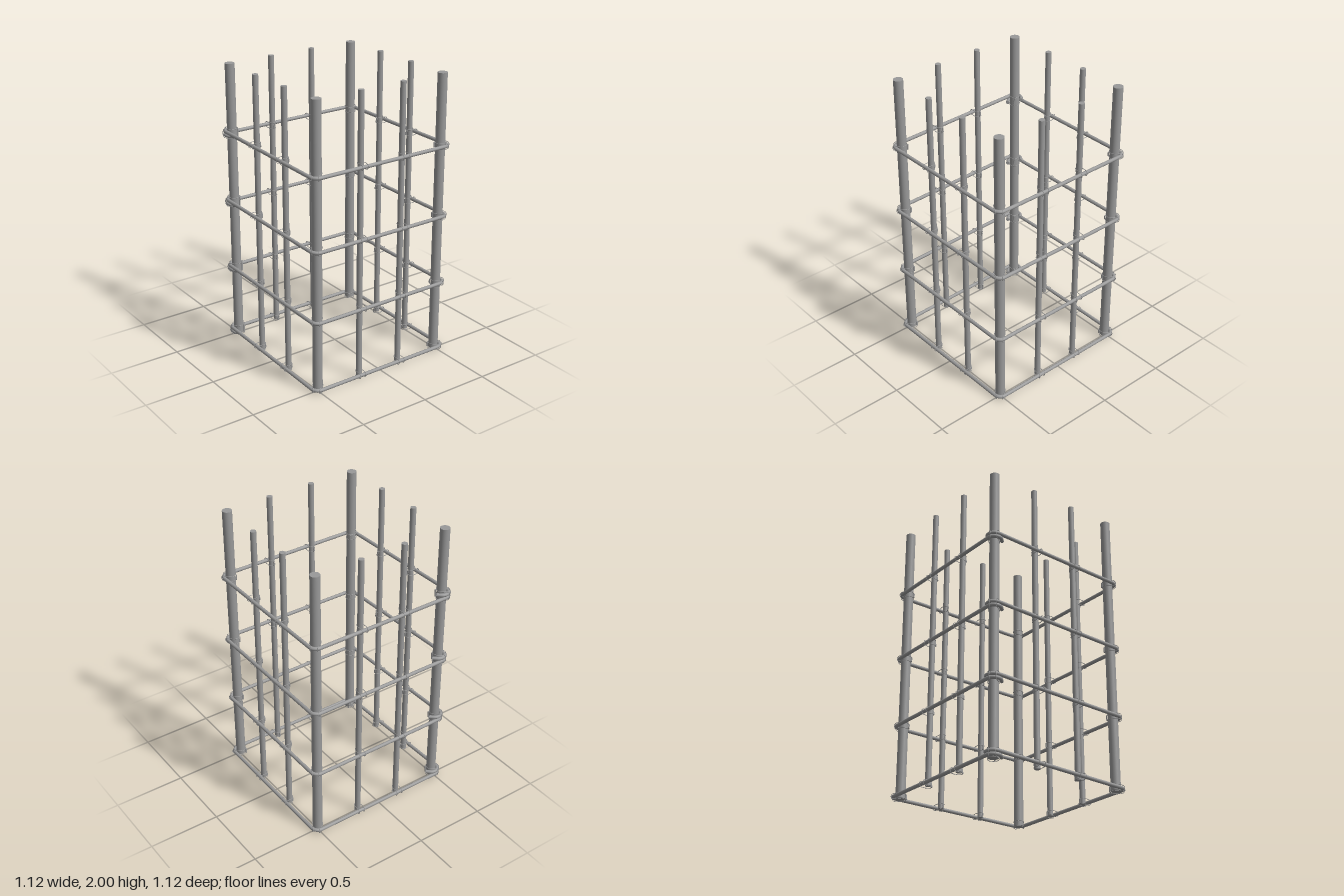
import * as THREE from 'three';

const CORNER = 0.495, CORNER_R = 0.033;   // corner bars
const MID = 0.505, MID_X = 0.165, MID_R = 0.02; // intermediate bars
const BOTTOM = 0.012, TOP = 2;            // bar ends
const BEND = 0.046, WIRE = 0.0125;        // stirrup bend and wire radius
const LEVELS = [0.024, 0.517, 1.011, 1.507];
const RISE = 0.025;                       // stirrup climbs this much across the front
const TIE_R = 0.0022, TIE_H = 0.0195;     // tie wire radius and half height

// Path that places one tube ring on each given point
class PointPath extends THREE.Curve {
  constructor(points) {
    super();
    this.points = points;
  }
  getPoint(t, target = new THREE.Vector3()) {
    const f = t * (this.points.length - 1);
    const i = Math.min(Math.floor(f), this.points.length - 2);
    return target.lerpVectors(this.points[i], this.points[i + 1], f - i);
  }
  getPointAt(u, target) {
    return this.getPoint(u, target);
  }
  getTangentAt(u, target = new THREE.Vector3()) {
    const p = this.points, n = p.length - 1, i = Math.round(u * n);
    target.set(0, 0, 0);
    if (i > 0) target.add(p[i].clone().sub(p[i - 1]).normalize());
    if (i < n) target.add(p[i + 1].clone().sub(p[i]).normalize());
    return target.normalize();
  }
}

// One bent stirrup with two 135 degree hooks round the front bar at -x
function stirrupPath() {
  const pts = [];
  const add = (x, y, z) => pts.push(new THREE.Vector3(x, y, z));
  const arc = (cx, cz, from, sweep, y) => {
    const n = Math.round(sweep / (Math.PI / 16));
    for (let i = 0; i <= n; i++) {
      const a = from + sweep * i / n;
      add(cx + BEND * Math.cos(a), y, cz + BEND * Math.sin(a));
    }
  };
  const q = Math.PI / 2, c = CORNER, d = BEND * Math.SQRT1_2, tail = 0.02;
  add(-c + d + tail, 0, c + d - tail);
  arc(-c, c, q / 2, 1.5 * q, 0);
  arc(-c, -c, 2 * q, q, 0);
  arc(c, -c, 3 * q, q, 0);
  arc(c, c, 0, q, 0);
  arc(-c, c, q, 1.5 * q, RISE);
  add(-c - d + tail, RISE, c - d - tail);
  return new PointPath(pts);
}

// Wire loop round a bar and over the stirrup; local +z points out of the cage
function tieGeometry(r, out, h, outerX) {
  const half = s => [
    [outerX, s * h * 0.8, out - 0.007], [(r + outerX) / 2, s * h, out - 0.02], [r, s * h, 0],
    [0.71 * r, s * h, -0.71 * r], [0, s * h, -r], [-0.71 * r, s * h, -0.71 * r],
    [-r, s * h, 0], [-(r + outerX) / 2, s * h, out - 0.02], [-outerX, s * h * 0.8, out - 0.007]
  ];
  const pts = [[outerX, 0, out], ...half(1), [-outerX, 0, out], ...half(-1).reverse()];
  const curve = new THREE.CatmullRomCurve3(pts.map(p => new THREE.Vector3(...p)), true, 'centripetal');
  return new THREE.TubeGeometry(curve, 64, TIE_R, 6, true);
}

export function createModel() {
  const model = new THREE.Group();
  const steel = new THREE.MeshStandardMaterial({ color: 0x999999 });
  const mesh = (geo, name, parent) => {
    const m = new THREE.Mesh(geo, steel);
    m.name = name;
    parent.add(m);
    return m;
  };

  // Upright bars
  const length = TOP - BOTTOM, midY = (TOP + BOTTOM) / 2;
  const cornerGeo = new THREE.CylinderGeometry(CORNER_R, CORNER_R, length, 24);
  const midGeo = new THREE.CylinderGeometry(MID_R, MID_R, length, 20);
  for (let k = 0; k < 4; k++) {
    const side = new THREE.Group();
    side.name = 'barSide';
    side.rotation.y = k * Math.PI / 2;
    model.add(side);
    mesh(cornerGeo, 'cornerBar', side).position.set(CORNER, midY, CORNER);
    for (const s of [-1, 1]) mesh(midGeo, 'intermediateBar', side).position.set(s * MID_X, midY, MID);
  }

  // Shared stirrup and tie shapes
  const path = stirrupPath();
  const stirrupGeo = new THREE.TubeGeometry(path, path.points.length - 1, WIRE, 12, false);
  const capGeo = new THREE.CircleGeometry(WIRE, 12);
  const makeTie = (r, out, h, outerX) => ({
    loop: tieGeometry(r + TIE_R, out, h, outerX),
    knot: new THREE.CapsuleGeometry(0.005, 2 * h - 0.01, 3, 8),
    z: -r - 0.006
  });
  const midTie = makeTie(MID_R, 0.052, TIE_H, 0.022);
  const cornerTie = makeTie(CORNER_R, 0.058, TIE_H, 0.022);
  const hookTie = makeTie(CORNER_R, 0.058, TIE_H + RISE / 2, 0.022);

  const addTie = (parent, t, x, y, z, turn) => {
    const g = new THREE.Group();
    g.name = 'wireTie';
    g.position.set(x, y, z);
    g.rotation.y = turn;
    parent.add(g);
    mesh(t.loop, 'tieLoop', g);
    const knot = mesh(t.knot, 'tieKnot', g);
    knot.position.z = t.z;
    knot.rotation.z = 0.2;
  };

  for (const y of LEVELS) {
    const level = new THREE.Group();
    level.name = 'stirrupLevel';
    level.position.y = y;
    model.add(level);
    mesh(stirrupGeo, 'stirrup', level);

    // Cut ends of the hooks
    for (const u of [0, 1]) {
      const cap = mesh(capGeo, 'hookEnd', level);
      const dir = path.getTangentAt(u).multiplyScalar(u ? 1 : -1);
      cap.position.copy(path.getPoint(u));
      cap.quaternion.setFromUnitVectors(new THREE.Vector3(0, 0, 1), dir);
    }

    // Wire ties, side by side; the front ones follow the climbing wire
    for (let k = 0; k < 4; k++) {
      const side = new THREE.Group();
      side.name = 'tieSide';
      side.rotation.y = k * Math.PI / 2;
      level.add(side);
      for (const s of [-1, 1]) {
        const lift = k === 0 ? RISE * (0.5 - s * MID_X / (2 * CORNER)) : 0;
        addTie(side, midTie, s * MID_X, lift, MID, 0);
      }
      const hook = k === 3;
      addTie(side, hook ? hookTie : cornerTie, CORNER, hook ? RISE / 2 : 0, CORNER, Math.PI / 4);
    }
  }
  return model;
}
